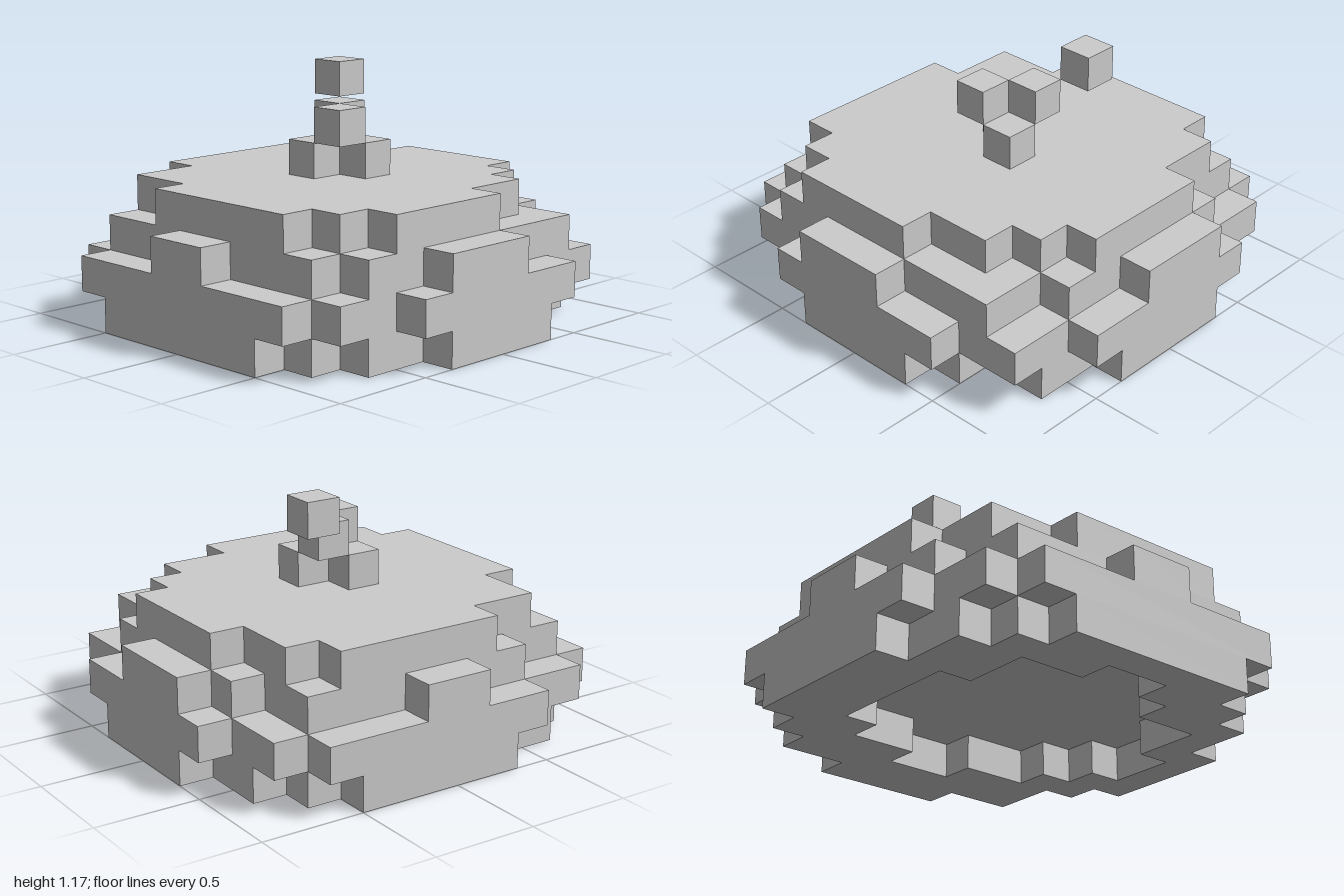
import * as THREE from 'three';

const S = 1 / 6; // size of one block

// Each row is [first x, last x, number of rows it repeats], running from back to front.
const layers = [
  { name: 'baseLayer', start: -6, rows: [[-2, 2, 1], [-4, 4, 1], [-5, 4, 1], [-6, 5, 1], [-6, 6, 4], [-5, 5, 2], [-4, 4, 1], [-3, 3, 1]] },
  { name: 'widestLayer', start: -6, rows: [[-3, 3, 1], [-5, 5, 1], [-6, 5, 1], [-6, 6, 6], [-5, 5, 2], [-4, 4, 1]] },
  { name: 'shoulderLayer', start: -6, rows: [[-2, 1, 1], [-3, 3, 1], [-5, 5, 3], [-6, 6, 2], [-5, 6, 1], [-5, 5, 1], [-4, 5, 1], [-4, 4, 1], [-1, 1, 1]] },
  { name: 'topLayer', start: -5, rows: [[-2, 2, 1], [-4, 3, 1], [-5, 4, 2], [-5, 5, 3], [-4, 5, 1], [-4, 4, 1], [-2, 3, 1]] },
];
const hollow = { start: -4, rows: [[-1, 1, 1], [-3, 3, 1], [-4, 4, 1], [-4, 5, 2], [-4, 4, 1], [-3, 4, 1], [-3, 2, 1], [-1, 1, 1]] };

// Stepped outline around a stack of rows (shape y is -z)
function outline({ start, rows }) {
  const left = [], right = [];
  let z = start;
  for (const [x0, x1, n] of rows) {
    for (const edge of [z, z + n]) {
      left.push([x0, edge]);
      right.push([x1, edge]);
    }
    z += n;
  }
  return [...left, ...right.reverse()]
    .filter((p, i, all) => i === 0 || p[0] !== all[i - 1][0] || p[1] !== all[i - 1][1])
    .map(([x, zz]) => new THREE.Vector2(x * S, -zz * S));
}

export function createModel() {
  const model = new THREE.Group();
  model.name = 'blockPumpkin';
  const material = new THREE.MeshStandardMaterial({ color: 0xcccccc, flatShading: true });

  // Body: four stepped slabs, the lowest one hollowed from below
  const body = new THREE.Group();
  body.name = 'body';
  layers.forEach((layer, k) => {
    const shape = new THREE.Shape(outline(layer));
    if (k === 0) shape.holes.push(new THREE.Path(outline(hollow)));
    const geometry = new THREE.ExtrudeGeometry(shape, { depth: S, bevelEnabled: false });
    geometry.rotateX(-Math.PI / 2);
    const mesh = new THREE.Mesh(geometry, material);
    mesh.name = layer.name;
    mesh.position.y = k * S;
    body.add(mesh);
  });
  model.add(body);

  // Stem: alternating blocks that meet edge to edge, and a tip block at the corner
  const stem = new THREE.Group();
  stem.name = 'stem';
  const block = new THREE.BoxGeometry(S, S, S);
  const addBlock = (name, x, y, z) => {
    const mesh = new THREE.Mesh(block, material);
    mesh.name = name;
    mesh.position.set((x + 0.5) * S, (y + 0.5) * S, (z + 0.5) * S);
    stem.add(mesh);
  };
  for (const x of [-1, 0]) {
    addBlock('lowerStemBlock', x, 4, -1 - x);
    addBlock('upperStemBlock', x, 5, x);
  }
  addBlock('stemTip', -2, 6, -2);
  model.add(stem);

  return model;
}
